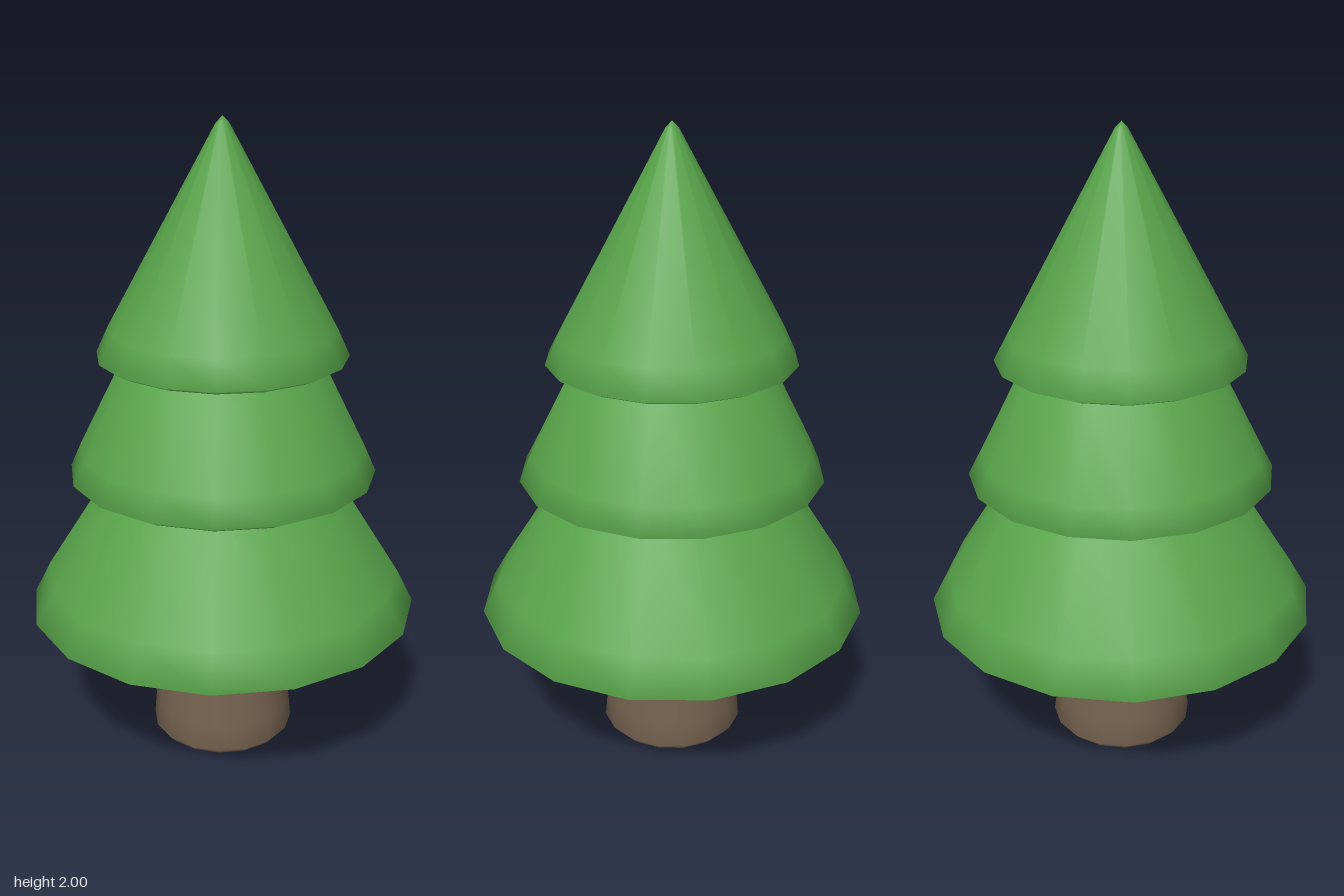
import * as THREE from 'three';
import { mergeGeometries, mergeVertices } from 'three/addons/utils/BufferGeometryUtils.js';

// Turned body with eight soft corners. Each profile point is [radius, y, fullness],
// where fullness scales the radius midway between two corners (1 = even sixteen sides).
function turned(profile) {
  const points = profile.map(([r, y]) => new THREE.Vector2(r, y));
  let side = new THREE.LatheGeometry(points, 16);
  const pos = side.attributes.position;
  for (let i = 0; i < pos.count; i++) {
    const column = Math.floor(i / points.length);
    if (column % 2 === 1) {
      const fullness = profile[i % points.length][2];
      pos.setX(i, pos.getX(i) * fullness);
      pos.setZ(i, pos.getZ(i) * fullness);
    }
  }
  // Weld the seam for smooth normals all round
  side.deleteAttribute('uv');
  side.deleteAttribute('normal');
  side = mergeVertices(side);
  side.computeVertexNormals();

  // Flat underside with a crisp edge
  const base = new THREE.LatheGeometry([new THREE.Vector2(0, points[0].y), points[0]], 16);
  base.deleteAttribute('uv');
  return mergeGeometries([base, side]);
}

export function createModel() {
  const tree = new THREE.Group();
  tree.name = 'pineTree';
  const leaves = new THREE.MeshStandardMaterial({ color: 0x57a349 });
  const bark = new THREE.MeshStandardMaterial({ color: 0x75624f });

  const add = (name, profile, material) => {
    const mesh = new THREE.Mesh(turned(profile), material);
    mesh.name = name;
    tree.add(mesh);
  };

  // Tapered trunk with a bevelled foot
  add('trunk', [[0.21, 0, 1], [0.23, 0.022, 1], [0.223, 0.1, 0.98], [0.187, 0.46, 0.97]], bark);

  // Three skirts: bevelled rim, sloping side, top tucked into the tier above
  add('lowerBranches',
    [[0.565, 0.442, 1], [0.618, 0.468, 1], [0.567, 0.57, 0.985], [0.327, 0.95, 0.965], [0, 0.97, 1]], leaves);
  add('middleBranches',
    [[0.44, 0.896, 1], [0.481, 0.918, 1], [0.447, 0.995, 0.985], [0.28, 1.33, 0.965], [0, 1.35, 1]], leaves);
  add('topBranches',
    [[0.352, 1.276, 1], [0.388, 1.293, 1], [0.35, 1.375, 0.985], [0.02, 1.98, 0.93], [0, 2, 1]], leaves);

  return tree;
}
